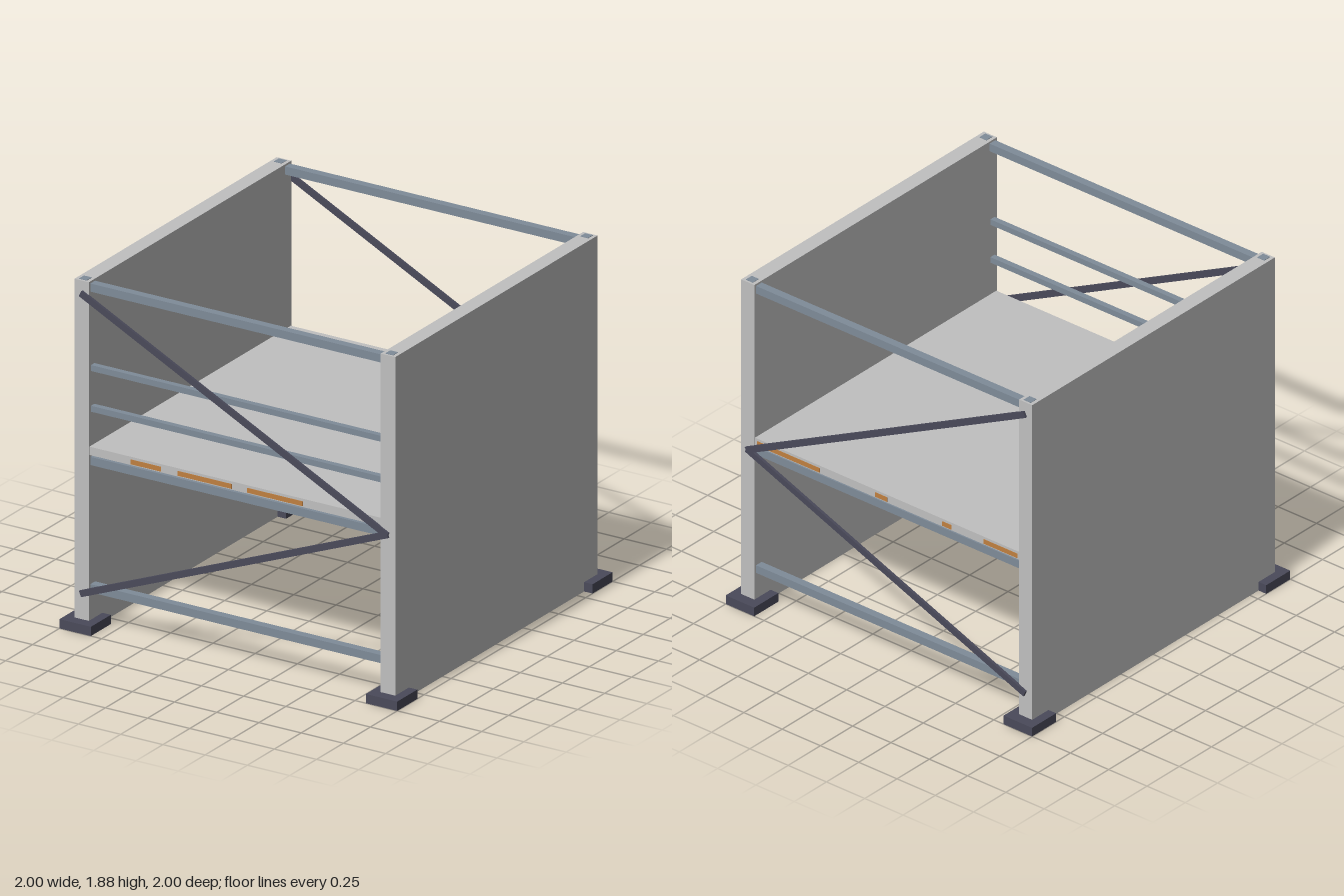
import * as THREE from 'three';

const mat = (name, color) => {
  const m = new THREE.MeshStandardMaterial({ color });
  m.name = name;
  return m;
};

export function createModel() {
  const model = new THREE.Group();
  const concrete = mat('light grey panel', 0xc0c0c0);
  const steel = mat('blue grey steel', 0x7f8c99);
  const dark = mat('dark steel', 0x4a4a5a);
  const wood = mat('orange wood', 0xc08040);

  // Axis-aligned box given by its limits
  const box = (name, material, x0, x1, y0, y1, z0, z1) => {
    const mesh = new THREE.Mesh(new THREE.BoxGeometry(x1 - x0, y1 - y0, z1 - z0), material);
    mesh.position.set((x0 + x1) / 2, (y0 + y1) / 2, (z0 + z1) / 2);
    mesh.name = name;
    model.add(mesh);
    return mesh;
  };

  // Flat diagonal bar between two points of the frame face
  const brace = (name, xa, ya, xb, yb, z) => {
    const length = Math.hypot(xb - xa, yb - ya) + 0.03;
    const mesh = new THREE.Mesh(new THREE.BoxGeometry(length, 0.034, 0.016), dark);
    mesh.position.set((xa + xb) / 2, (ya + yb) / 2, z);
    mesh.rotation.z = Math.atan2(yb - ya, xb - xa);
    mesh.name = name;
    model.add(mesh);
  };

  // Side walls
  for (const s of [-1, 1]) {
    const c = s * 0.907;
    box('sideWall', concrete, c - 0.043, c + 0.043, 0, 1.88, -0.94, 0.94);
  }

  // Deck
  box('deck', concrete, -0.865, 0.865, 0.945, 0.99, -0.935, 0.935);

  for (const z of [-1, 1]) {
    // Cross beams at the foot, under the deck and at the top
    for (const y of [0.222, 0.91, 1.847])
      box('crossBeam', steel, -0.865, 0.865, y - 0.022, y + 0.022, z * 0.905 - 0.022, z * 0.905 + 0.022);

    // Diagonal braces meeting on the left post
    brace('upperBrace', -0.895, 1.807, 0.895, 0.914, z * 0.945);
    brace('lowerBrace', -0.895, 0.195, 0.895, 0.908, z * 0.945);

    // Base plates and post ends
    for (const x of [-0.907, 0.907]) {
      box('basePlate', dark, x - 0.093, x + 0.093, 0, 0.05, z * 0.907 - 0.093, z * 0.907 + 0.093);
      box('postEnd', steel, x - 0.023, x + 0.023, 1.878, 1.882, z * 0.905 - 0.023, z * 0.905 + 0.023);
    }
  }

  // Guard rails on the front only
  for (const y of [1.19, 1.41])
    box('guardRail', steel, -0.865, 0.865, y - 0.016, y + 0.016, 0.889, 0.921);

  // Bare wood showing on the deck edges
  for (const [x0, x1] of [[-0.62, -0.44], [-0.34, -0.02], [0.07, 0.4]])
    box('frontWoodEdge', wood, x0, x1, 0.95, 0.976, 0.934, 0.937);
  for (const [x0, x1] of [[-0.85, -0.63], [-0.42, -0.36], [0, 0.08], [0.44, 0.85]])
    box('backWoodEdge', wood, x0, x1, 0.95, 0.976, -0.937, -0.934);

  return model;
}
